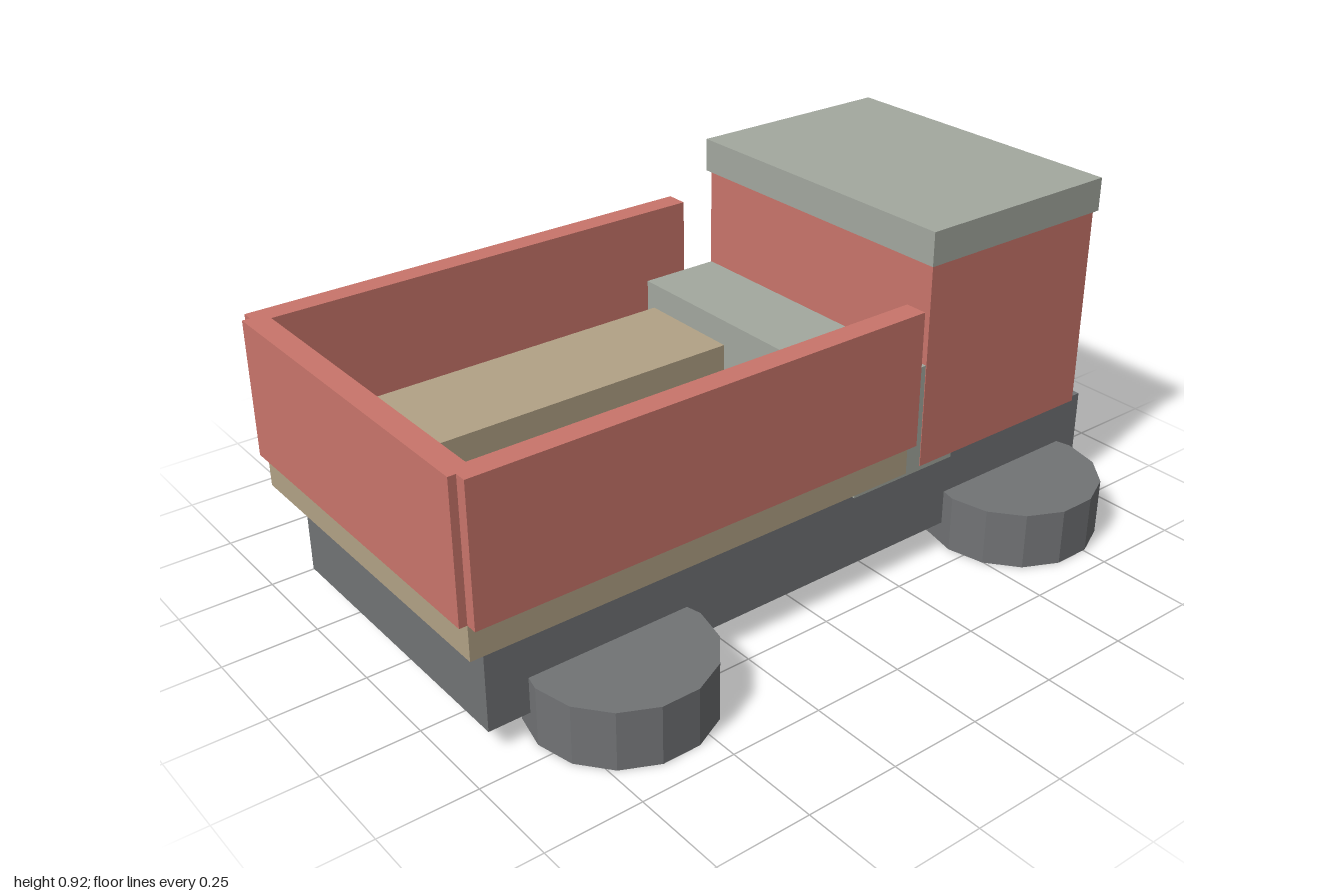
import * as THREE from 'three';

const mat = (name, color) => Object.assign(new THREE.MeshStandardMaterial({ color }), { name });

export function createModel() {
  const red = mat('bodyRed', 0xc9756b);
  const grey = mat('paleGrey', 0xa3a89f);
  const tan = mat('woodTan', 0xb2a286);
  const dark = mat('darkGrey', 0x717375);
  const glass = mat('windowBlue', 0x9dbcc8);

  const truck = new THREE.Group();
  truck.name = 'truck';

  // Box given by its lower and upper limits on each axis
  function box(name, material, [x0, x1], [y0, y1], [z0, z1]) {
    const mesh = new THREE.Mesh(new THREE.BoxGeometry(x1 - x0, y1 - y0, z1 - z0), material);
    mesh.position.set((x0 + x1) / 2, (y0 + y1) / 2, (z0 + z1) / 2);
    mesh.name = name;
    truck.add(mesh);
  }

  // Chassis
  box('chassis', dark, [-0.92, 1], [0.06, 0.28], [-0.415, 0.415]);

  // Cab, its roof and windscreen (the truck drives towards +x)
  box('cab', red, [0.375, 0.96], [0.275, 0.835], [-0.426, 0.426]);
  box('cabRoof', grey, [0.365, 0.97], [0.83, 0.92], [-0.435, 0.435]);
  box('windscreen', glass, [0.955, 0.98], [0.57, 0.84], [-0.375, 0.375]);

  // Block between cab and bed
  box('connectorBlock', grey, [0.15, 0.49], [0.262, 0.56], [-0.424, 0.424]);

  // Load bed
  box('bedFloor', tan, [-0.98, 0.285], [0.303, 0.395], [-0.465, 0.465]);
  box('tailgate', red, [-1, -0.94], [0.395, 0.755], [-0.465, 0.465]);

  // Bed walls, benches and flat-lying wheels on both sides
  const wheelGeometry = new THREE.CylinderGeometry(0.23, 0.23, 0.155, 14).rotateY(Math.PI / 2).toNonIndexed();
  wheelGeometry.computeVertexNormals();
  for (const side of [1, -1]) {
    const span = (a, b) => [a * side, b * side].sort((p, q) => p - q);
    box('bedWall', red, [-0.98, 0.285], [0.395, 0.755], span(0.435, 0.495));
    box('bench', tan, [-0.875, 0.18], [0.39, 0.49], span(0.09, 0.395));
    for (const x of [-0.59, 0.705]) {
      const wheel = new THREE.Mesh(wheelGeometry, dark);
      wheel.name = x > 0 ? 'frontWheel' : 'rearWheel';
      wheel.position.set(x, 0.0775, 0.455 * side);
      truck.add(wheel);
    }
  }
  return truck;
}
